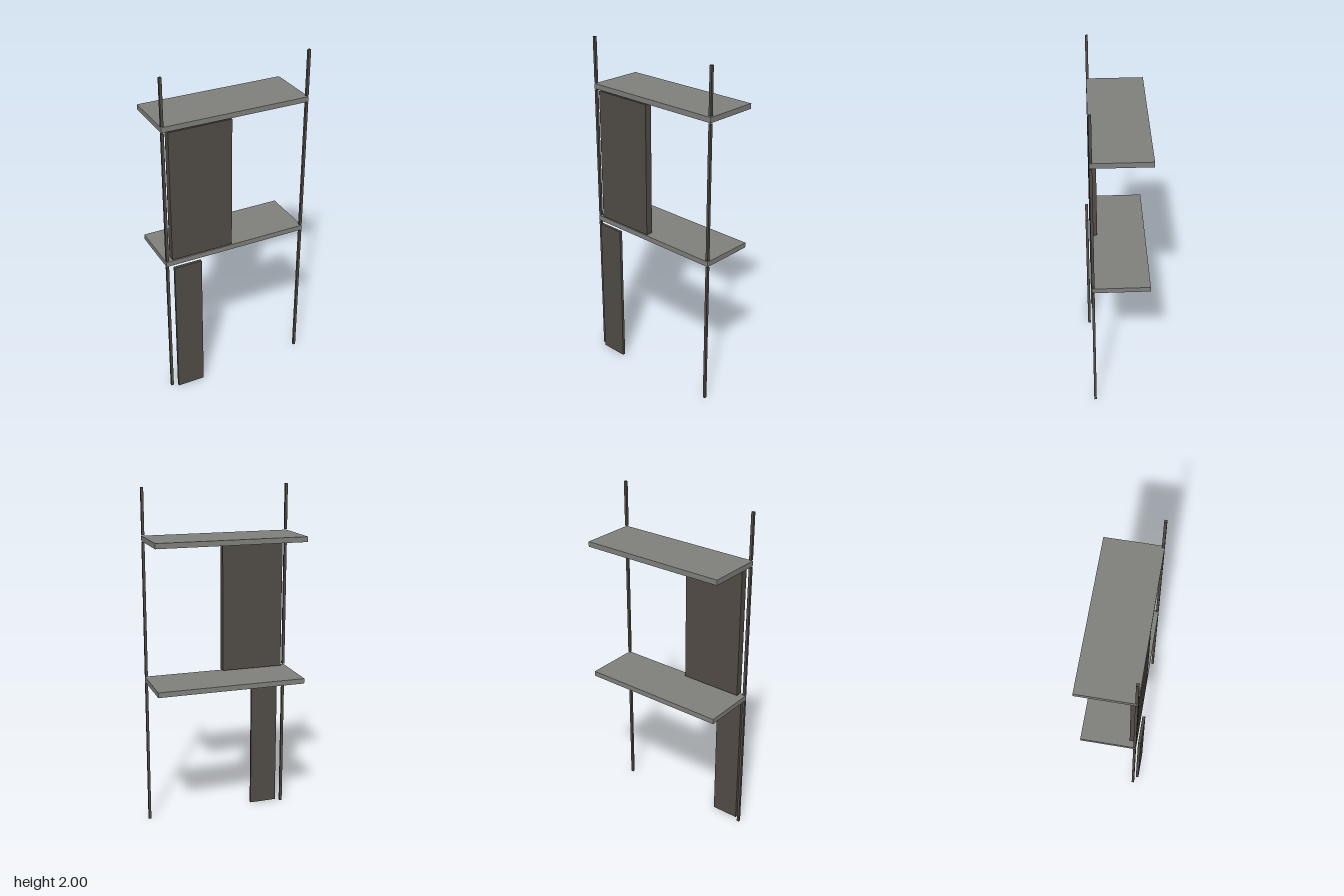
import * as THREE from 'three';

export function createModel() {
  const model = new THREE.Group();
  model.name = 'shelfUnit';

  const material = (name, color) => {
    const m = new THREE.MeshStandardMaterial({ color });
    m.name = name;
    return m;
  };
  const shelfGrey = material('shelf grey', 0x81817e);
  const darkBrown = material('dark brown', 0x524c46);

  // Box given by its minimum and maximum on each axis
  const addBox = (name, mat, [x0, x1], [y0, y1], [z0, z1]) => {
    const mesh = new THREE.Mesh(new THREE.BoxGeometry(x1 - x0, y1 - y0, z1 - z0), mat);
    mesh.position.set((x0 + x1) / 2, (y0 + y1) / 2, (z0 + z1) / 2);
    mesh.name = name;
    model.add(mesh);
  };

  // Two shelves
  addBox('lowerShelf', shelfGrey, [-0.437, 0.437], [0.876, 0.906], [-0.175, 0.15]);
  addBox('upperShelf', shelfGrey, [-0.437, 0.437], [1.701, 1.731], [-0.175, 0.15]);

  // Front posts, in three lengths with small gaps at the shelves
  const lengths = [['lower', [0, 0.87]], ['middle', [0.912, 1.695]], ['upper', [1.737, 2]]];
  for (const [part, span] of lengths) {
    addBox(part + 'RightPost', darkBrown, [-0.437, -0.422], span, [0.135, 0.15]);
    addBox(part + 'LeftPost', darkBrown, [0.422, 0.437], span, [0.135, 0.15]);
  }

  // Panels: a thick one between the shelves, a thin one in front below
  addBox('upperPanel', darkBrown, [-0.4, -0.03], [0.912, 1.695], [0.108, 0.15]);
  addBox('lowerPanel', darkBrown, [-0.398, -0.232], [0.003, 0.87], [0.157, 0.174]);

  return model;
}
